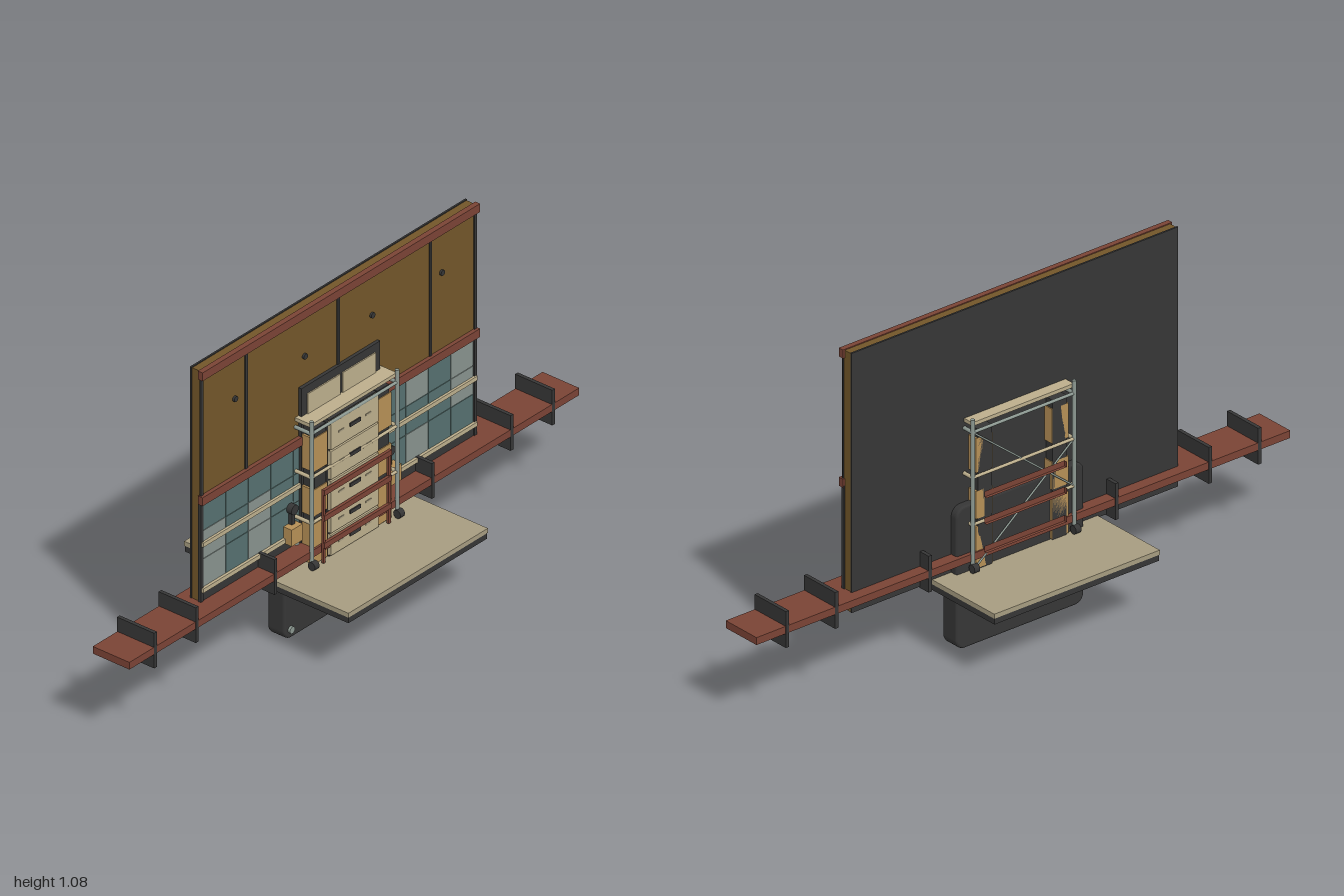
import * as THREE from 'three';

export function createModel() {
  const root = new THREE.Group();
  const mat = (name, color) => {
    const m = new THREE.MeshStandardMaterial({ color });
    m.name = name;
    return m;
  };
  const dark = mat('charcoal', 0x363636), red = mat('rust red', 0x7a4335);
  const brown = mat('bronze', 0x725629), cream = mat('cream', 0xbcae8c);
  const stone = mat('stone', 0xa69c80), teal = mat('teal', 0x56706f);
  const pale = mat('pale tile', 0x87928d), ochre = mat('ochre', 0xb58f56);
  const steel = mat('steel', 0x8c9891);

  const add = (name, geo, m, x = 0, y = 0, z = 0) => {
    const mesh = new THREE.Mesh(geo, m);
    mesh.name = name;
    mesh.position.set(x, y, z);
    root.add(mesh);
    return mesh;
  };
  // Box given by its limits on each axis
  const box = (name, m, x0, x1, y0, y1, z0, z1) =>
    add(name, new THREE.BoxGeometry(x1 - x0, y1 - y0, z1 - z0), m, (x0 + x1) / 2, (y0 + y1) / 2, (z0 + z1) / 2);
  // Round disc facing the front
  const disc = (name, m, r, d, x, y, z) =>
    add(name, new THREE.CylinderGeometry(r, r, d, 20).rotateX(Math.PI / 2), m, x, y, z);
  // Round bar between two points
  const bar = (name, m, r, a, b) => {
    const p = new THREE.Vector3(...a), q = new THREE.Vector3(...b);
    const mesh = add(name, new THREE.CylinderGeometry(r, r, p.distanceTo(q), 10), m);
    mesh.position.copy(p).add(q).multiplyScalar(0.5);
    mesh.quaternion.setFromUnitVectors(new THREE.Vector3(0, 1, 0), q.sub(p).normalize());
  };

  // Backdrop wall
  box('wallCore', brown, -0.61, 0.61, 0.24, 1.08, -0.025, 0.002);
  box('wallBack', dark, -0.612, 0.612, 0.24, 1.083, -0.031, -0.025);
  box('upperPanel', brown, -0.61, 0.61, 0.65, 1.06, 0.002, 0.007);
  box('lowerBand', dark, -0.61, 0.61, 0.25, 0.345, 0.002, 0.008);
  box('tileBacking', dark, -0.61, 0.61, 0.345, 0.65, 0.002, 0.005);
  for (const y of [0.24, 0.635, 1.055]) box('wallRail', red, -0.617, 0.617, y, y + 0.028, 0.002, 0.02);
  for (const y of [0.338, 0.492]) box('trimRail', cream, -0.61, 0.61, y, y + 0.014, 0.005, 0.017);
  for (const x of [-0.608, -0.41, 0, 0.41, 0.608])
    box('panelSeam', dark, x - 0.005, x + 0.005, 0.66, 1.056, 0.006, 0.011);
  for (const s of [-1, 1]) {
    box('wallEdge', dark, s * 0.608 - 0.006, s * 0.608 + 0.006, 0.25, 0.64, 0, 0.011);
    for (const x of [0.15, 0.46]) disc('panelBolt', dark, 0.009, 0.008, s * x, 0.92, 0.01);
  }

  // Tile grid, with some pale tiles
  const paleTiles = ['0,0', '0,1', '2,0', '2,1', '9,0', '9,2', '11,2', '11,1'];
  const w = 1.2 / 12, h = 0.285 / 3;
  for (let i = 0; i < 12; i++) for (let j = 0; j < 3; j++) {
    const x = -0.6 + i * w, y = 0.352 + j * h;
    box('tile', paleTiles.includes(`${i},${j}`) ? pale : teal, x + 0.001, x + w - 0.001, y + 0.001, y + h - 0.001, 0.004, 0.009);
  }

  // Long cross beam with fins
  box('crossBeam', red, -1, 1, 0.282, 0.306, -0.069, 0.069);
  for (const s of [-1, 1]) for (const x of [0.35, 0.7, 0.885])
    box('beamFin', dark, s * x - 0.006, s * x + 0.006, 0.236, 0.354, -0.07, 0.07);

  // Platform
  box('platformTop', stone, -0.31, 0.31, 0.232, 0.247, -0.31, 0.31);
  box('platformBase', dark, -0.308, 0.308, 0.212, 0.232, -0.308, 0.308);
  box('platformUnderside', dark, -0.155, 0.155, 0.205, 0.212, -0.155, 0.155);

  // Rounded fan housing
  const s = new THREE.Shape(), X = 0.232, Y = 0.223, R = 0.025;
  s.absarc(X - R, Y - R, R, 0, Math.PI / 2);
  s.absarc(-X + R, Y - R, R, Math.PI / 2, Math.PI);
  s.absarc(-X + R, -Y + R, R, Math.PI, Math.PI * 1.5);
  s.absarc(X - R, -Y + R, R, Math.PI * 1.5, Math.PI * 2);
  add('fanHousing', new THREE.ExtrudeGeometry(s, { depth: 0.05, bevelThickness: 0.007, bevelSize: 0.007, bevelSegments: 3, curveSegments: 6 }),
    dark, 0, 0.23, -0.049);
  add('fanRing', new THREE.TorusGeometry(0.2, 0.008, 10, 64), steel, 0, 0.235, 0.009);
  for (const a of [-1, 1]) {
    disc('housingBolt', steel, 0.011, 0.01, a * 0.212, 0.03, 0.011);
    disc('housingBolt', dark, 0.016, 0.02, a * 0.215, 0.44, 0.018);
    box('sideBracket', ochre, a * 0.22 - 0.024, a * 0.22 + 0.024, 0.335, 0.39, 0.008, 0.04);
    box('bracketStem', dark, a * 0.215 - 0.007, a * 0.215 + 0.007, 0.39, 0.44, 0.008, 0.022);
  }
  for (let i = 0; i < 24; i++) {
    const blade = add('fanBlade', new THREE.BoxGeometry(0.013, 0.125, 0.006).translate(0, 0.1125, 0), red, 0, 0.235, 0.012);
    blade.rotation.z = (i + 0.5) * Math.PI / 12;
  }
  disc('fanHub', dark, 0.05, 0.03, 0, 0.235, 0.025);
  bar('pendulum', steel, 0.003, [0, 0.05, 0.042], [0, 0.215, 0.042]);

  // Double door behind the tower
  box('doorFrame', dark, -0.175, 0.175, 0.25, 0.825, 0.004, 0.018);
  for (const a of [-1, 1]) box('doorLeaf', cream, a * 0.078 - 0.073, a * 0.078 + 0.073, 0.26, 0.798, 0.016, 0.022);

  // Drawer stack
  box('drawerCarcass', dark, -0.105, 0.105, 0.247, 0.705, 0.018, 0.063);
  const edges = [0.25, 0.325, 0.4, 0.505, 0.605, 0.705];
  for (let i = 0; i < 5; i++) {
    const mid = (edges[i] + edges[i + 1]) / 2;
    box('drawerFront', cream, -0.106, 0.106, edges[i] + 0.003, edges[i + 1] - 0.003, 0.06, 0.071);
    box('drawerHandle', dark, -0.023, 0.023, mid - 0.006, mid + 0.006, 0.07, 0.075);
    for (const a of [-1, 1]) box('drawerSlot', stone, a * 0.06 - 0.012, a * 0.06 + 0.012, mid - 0.003, mid + 0.003, 0.07, 0.073);
  }

  // Side storage boxes, in front of and behind the wall
  for (const a of [-1, 1]) for (const [z0, z1] of [[0.018, 0.062], [-0.064, -0.031]]) {
    box('boxColumn', dark, a * 0.14 - 0.026, a * 0.14 + 0.026, 0.247, 0.7, z0, z1 - 0.003);
    for (const [y0, y1] of [[0.25, 0.385], [0.41, 0.5], [0.56, 0.672]])
      box('storageBox', ochre, a * 0.142 - 0.031, a * 0.142 + 0.031, y0, y1, z0, z1);
  }

  // Scaffold tower
  box('towerTop', cream, -0.19, 0.19, 0.719, 0.731, -0.068, 0.068);
  for (const z of [-0.069, 0.069]) {
    const out = Math.sign(z);
    for (const x of [-0.19, 0.19]) {
      bar('towerPost', steel, 0.0065, [x, 0.247, z], [x, 0.742, z]);
      bar('castor', dark, 0.014, [x - 0.01, 0.262, z + out * 0.008], [x + 0.01, 0.262, z + out * 0.008]);
    }
    for (const y of [0.4, 0.553, 0.7]) bar('towerRung', y > 0.6 ? steel : cream, 0.005, [-0.19, y, z], [0.19, y, z]);
    for (const y of [0.31, 0.402, 0.488]) {
      box('guardRail', red, -0.15, 0.15, y - 0.009, y + 0.009, z + out * 0.005, z + out * 0.015);
    }
    if (out > 0) for (const x of [-0.145, 0.145]) box('guardPost', red, x - 0.005, x + 0.005, 0.25, 0.495, z + 0.003, z + 0.011);
  }
  for (const x of [-0.19, 0.19]) for (const y of [0.4, 0.553, 0.7])
    bar('towerSideBar', y > 0.6 ? steel : cream, 0.006, [x, y, -0.069], [x, y, 0.069]);
  bar('towerBrace', steel, 0.003, [-0.19, 0.4, -0.069], [0.19, 0.7, -0.069]);
  bar('towerBrace', steel, 0.003, [0.19, 0.25, -0.069], [-0.19, 0.553, -0.069]);

  return root;
}
